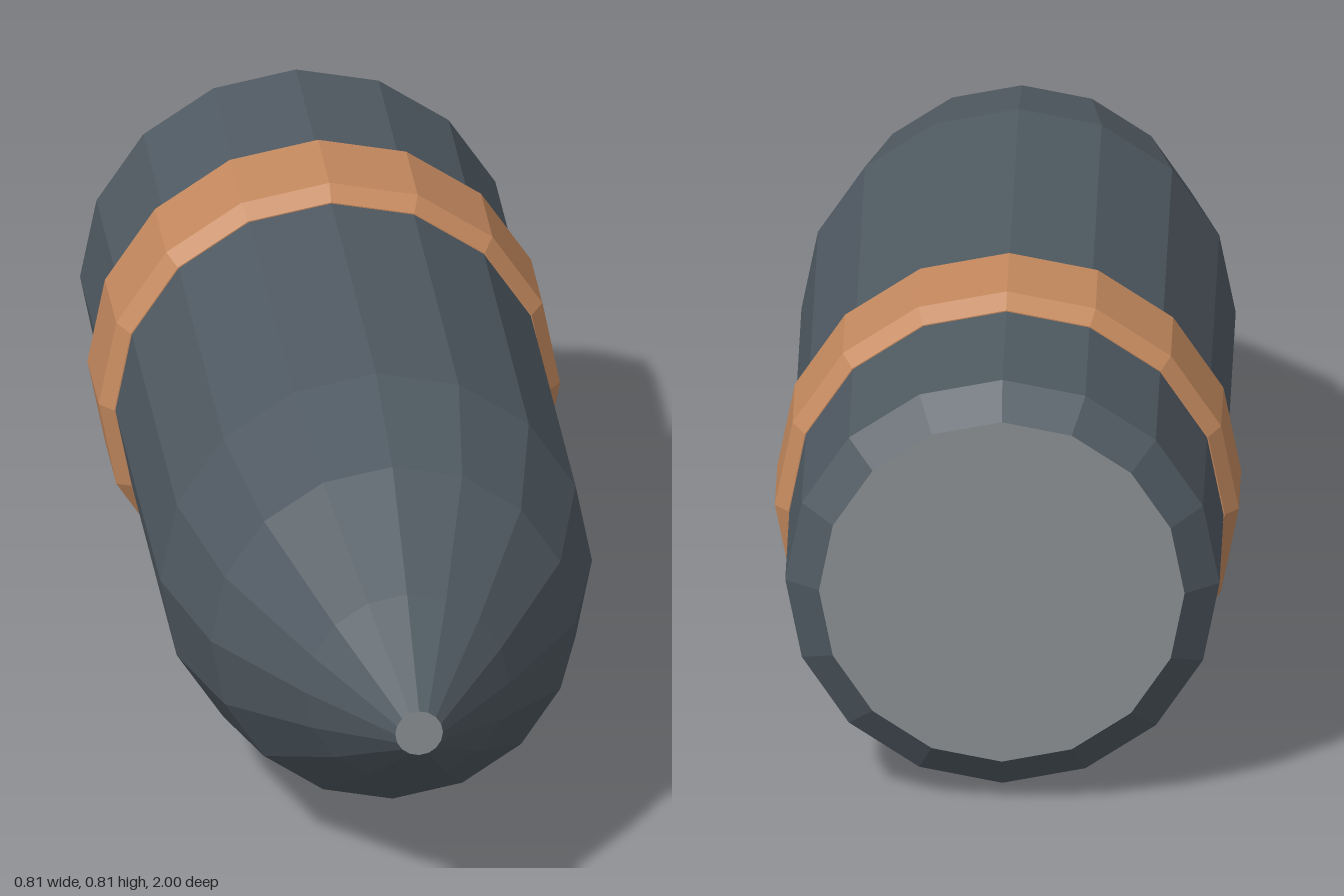
import * as THREE from 'three';

const SIDES = 16;
const AXIS_Y = 0.406;

// Faceted solid of revolution along z from [radius, z] points, back to front
function turned(name, profile, material) {
  const points = profile.map(([r, z]) => new THREE.Vector2(r, z));
  const geometry = new THREE.LatheGeometry(points, SIDES).toNonIndexed();
  geometry.rotateX(Math.PI / 2);
  geometry.computeVertexNormals();
  const mesh = new THREE.Mesh(geometry, material);
  mesh.name = name;
  mesh.position.y = AXIS_Y;
  return mesh;
}

// Flat end disc, facing +z or -z
function endDisc(name, radius, z, facing, material) {
  const mesh = new THREE.Mesh(new THREE.CircleGeometry(radius, SIDES), material);
  mesh.name = name;
  mesh.position.set(0, AXIS_Y, z);
  if (facing < 0) mesh.rotation.y = Math.PI;
  return mesh;
}

export function createModel() {
  const steel = new THREE.MeshStandardMaterial({ color: 0x505a62 });
  steel.name = 'darkSteel';
  const copper = new THREE.MeshStandardMaterial({ color: 0xc4895e });
  copper.name = 'copper';
  const grey = new THREE.MeshStandardMaterial({ color: 0x8a8f91 });
  grey.name = 'paleGrey';

  const group = new THREE.Group();
  group.name = 'shell';

  // Body with chamfered base and pointed nose
  group.add(turned('body', [
    [0.32, -1], [0.38, -0.95], [0.38, 0.32], [0.32, 0.58], [0.18, 0.81], [0.042, 1],
  ], steel));

  // Raised band with bevelled edges
  group.add(turned('drivingBand', [
    [0.37, -0.63], [0.382, -0.63], [0.406, -0.6], [0.406, -0.42], [0.382, -0.39], [0.37, -0.39],
  ], copper));

  // Flat ends
  group.add(endDisc('noseTip', 0.042, 1, 1, grey));
  group.add(endDisc('baseDisc', 0.32, -1, -1, grey));
  return group;
}
